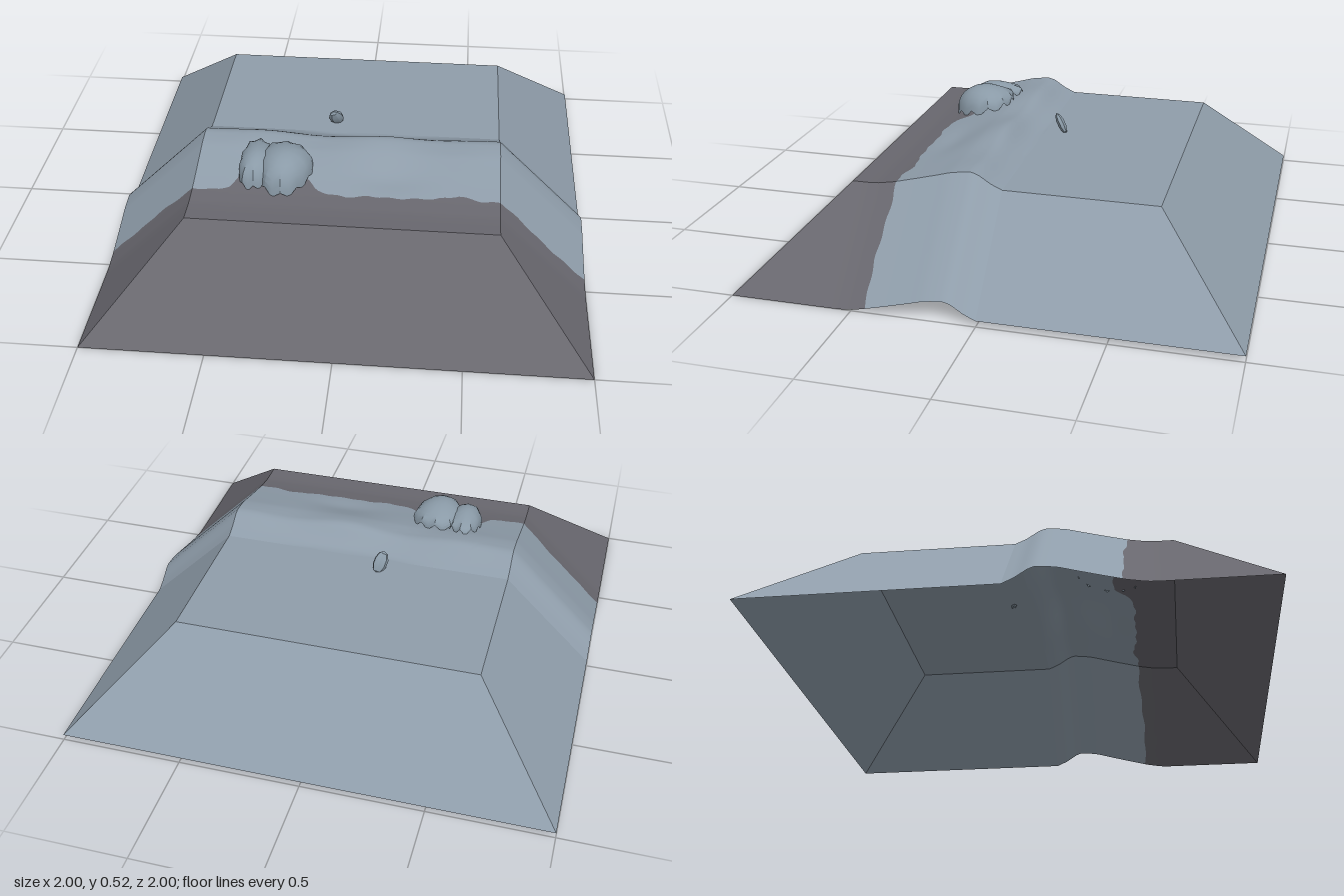
import * as THREE from 'three';
import { mergeVertices, toCreasedNormals } from 'three/addons/utils/BufferGeometryUtils.js';

const H = 0.625; // half width of the raised plateau
const material = (name, color) => new THREE.MeshStandardMaterial({ name, color, side: THREE.DoubleSide });

// piecewise linear lookup in [position, value] pairs
function lookup(table, t) {
  if (t <= table[0][0]) return table[0][1];
  for (let i = 1; i < table.length; i++) {
    const [a, va] = table[i - 1], [b, vb] = table[i];
    if (t <= b) return va + (vb - va) * (t - a) / (b - a);
  }
  return table[table.length - 1][1];
}

// height of the ridge along z, and the line where the dark soil begins
const ridge = [[0, 0.4], [0.045, 0.42], [0.1, 0.456], [0.125, 0.463], [0.17, 0.459], [0.21, 0.453],
  [0.27, 0.436], [0.36, 0.412], [0.45, 0.389], [0.52, 0.377], [0.56, 0.375], [0.625, 0.375]];
const shoreLine = [[-1, 0.432], [-0.85, 0.437], [-0.78, 0.43], [-0.65, 0.448], [-0.52, 0.445], [-0.47, 0.425],
  [-0.44, 0.37], [-0.16, 0.365], [-0.12, 0.425], [-0.08, 0.437], [0, 0.452], [0.1, 0.44], [0.2, 0.445],
  [0.36, 0.438], [0.46, 0.418], [0.56, 0.442], [0.68, 0.436], [0.85, 0.45], [1, 0.445]];
const shore = x => lookup(shoreLine, x) + 0.003 * Math.sin(x * 61);

function ground(x, z) {
  const cx = THREE.MathUtils.clamp(x, -H, H);
  const fade = 1 - (cx / H) ** 2;
  const foot = 0.03 * fade * Math.exp(-(((cx - 0.1) / 0.25) ** 2)) * Math.max(0, 1 - z / 0.2);
  const wave = 0.011 * fade * Math.cos(11.4 * (cx - 0.13)) * Math.exp(-(((z - 0.14) / 0.09) ** 2));
  const hollow = 0.012 * Math.exp(-(((cx - 0.18) / 0.15) ** 2) - ((z - 0.34) / 0.07) ** 2);
  const y = lookup(ridge, z - foot) + (z > 0 ? wave - hollow : 0);
  return y - Math.max(0, Math.abs(x) - H);
}

// grid surface from a point rule; u and v run 0..1
function surface(point, nu, nv) {
  const pos = [], index = [];
  for (let j = 0; j <= nv; j++) for (let i = 0; i <= nu; i++) pos.push(...point(i / nu, j / nv));
  for (let j = 0; j < nv; j++) for (let i = 0; i < nu; i++) {
    const a = j * (nu + 1) + i, b = a + nu + 1;
    index.push(a, b, a + 1, a + 1, b, b + 1);
  }
  const g = new THREE.BufferGeometry();
  g.setAttribute('position', new THREE.Float32BufferAttribute(pos, 3));
  g.setIndex(index);
  const merged = mergeVertices(g, 1e-5);
  merged.computeVertexNormals();
  return merged;
}

// flat polygon from corners in counter-clockwise order
function flat(...corners) {
  const g = new THREE.BufferGeometry();
  g.setAttribute('position', new THREE.Float32BufferAttribute(corners.flat(), 3));
  g.setIndex(corners.length === 4 ? [0, 1, 2, 0, 2, 3] : [0, 1, 2]);
  g.computeVertexNormals();
  return g;
}

export function createModel() {
  const model = new THREE.Group();
  const stone = material('blue grey ground', 0x8f9daa);
  const soil = material('dark soil', 0x68676e);
  const rock = material('boulder grey', 0x8a9aa7);
  const add = (name, geometry, mat, parent = model) => {
    const mesh = new THREE.Mesh(geometry, mat);
    mesh.name = name;
    parent.add(mesh);
    return mesh;
  };

  // plateau and side slopes, each split into back field, ridge and dark front
  for (const [name, x0, x1, n] of [['rightSlope', -1, -H, 24], ['plateau', -H, H, 90], ['leftSlope', H, 1, 24]]) {
    const strip = (from, to) => (u, v) => {
      const x = x0 + (x1 - x0) * u, z = from(x) + (to(x) - from(x)) * v;
      return [x, ground(x, z), z];
    };
    add(name + 'Back', surface(strip(() => -H, () => 0), n, 1), stone);
    add(name + 'Ridge', surface(strip(() => 0, shore), n, 28), stone);
    add(name + 'Front', surface(strip(shore, () => H), n, 12), soil);
  }

  // front and back slopes
  const f = 0.375, b = 0.4;
  add('frontSlope', flat([-1, 0, 1], [1, 0, 1], [H, f, H], [-H, f, H]), soil);
  add('backSlope', flat([1, b - f, -1], [-1, b - f, -1], [-H, b, -H], [H, b, -H]), stone);

  // corner triangles closing the side slopes
  for (const s of [-1, 1]) {
    const front = [[s * H, f, H], [s, 0, 1], [s, 0, H]];
    const back = [[s * H, b, -H], [s, b - f, -H], [s, b - f, -1]];
    add('frontCorner', flat(...(s > 0 ? front : front.reverse())), soil);
    add('backCorner', flat(...(s > 0 ? back : back.reverse())), stone);
  }

  // cleft boulder: two open shells with jagged rims
  const boulder = new THREE.Group();
  boulder.name = 'boulder';
  model.add(boulder);
  const shell = (cx, cz, rx, rz, top, phase) => {
    const g = surface((u, v) => {
      const a = u * Math.PI * 2, t = v * Math.PI / 2;
      const r = Math.sin(t) * (1 + 0.06 * Math.sin(3 * a + phase) * v);
      const x = cx + rx * r * Math.cos(a), z = cz - rz * r * Math.sin(a);
      const jag = Math.round(u * 20) % 2 ? 0.02 : -0.008;
      const rim = ground(x, z) + jag * v;
      return [x, rim + (top - rim) * Math.cos(t) ** 0.9, z];
    }, 20, 7);
    return toCreasedNormals(g, 0.6);
  };
  add('largeLobe', shell(-0.26, 0.335, 0.112, 0.13, 0.525, 0.6), rock, boulder);
  add('smallLobe', shell(-0.375, 0.32, 0.076, 0.122, 0.508, 2), rock, boulder);

  // small leaning shard behind the ridge
  const shardShape = new THREE.SphereGeometry(1, 7, 5);
  shardShape.scale(0.032, 0.05, 0.018);
  const shard = add('shard', toCreasedNormals(shardShape, 0.5), rock);
  shard.position.set(-0.085, 0.434, -0.064);
  shard.rotation.set(0.45, 0.35, 0.25);
  return model;
}
